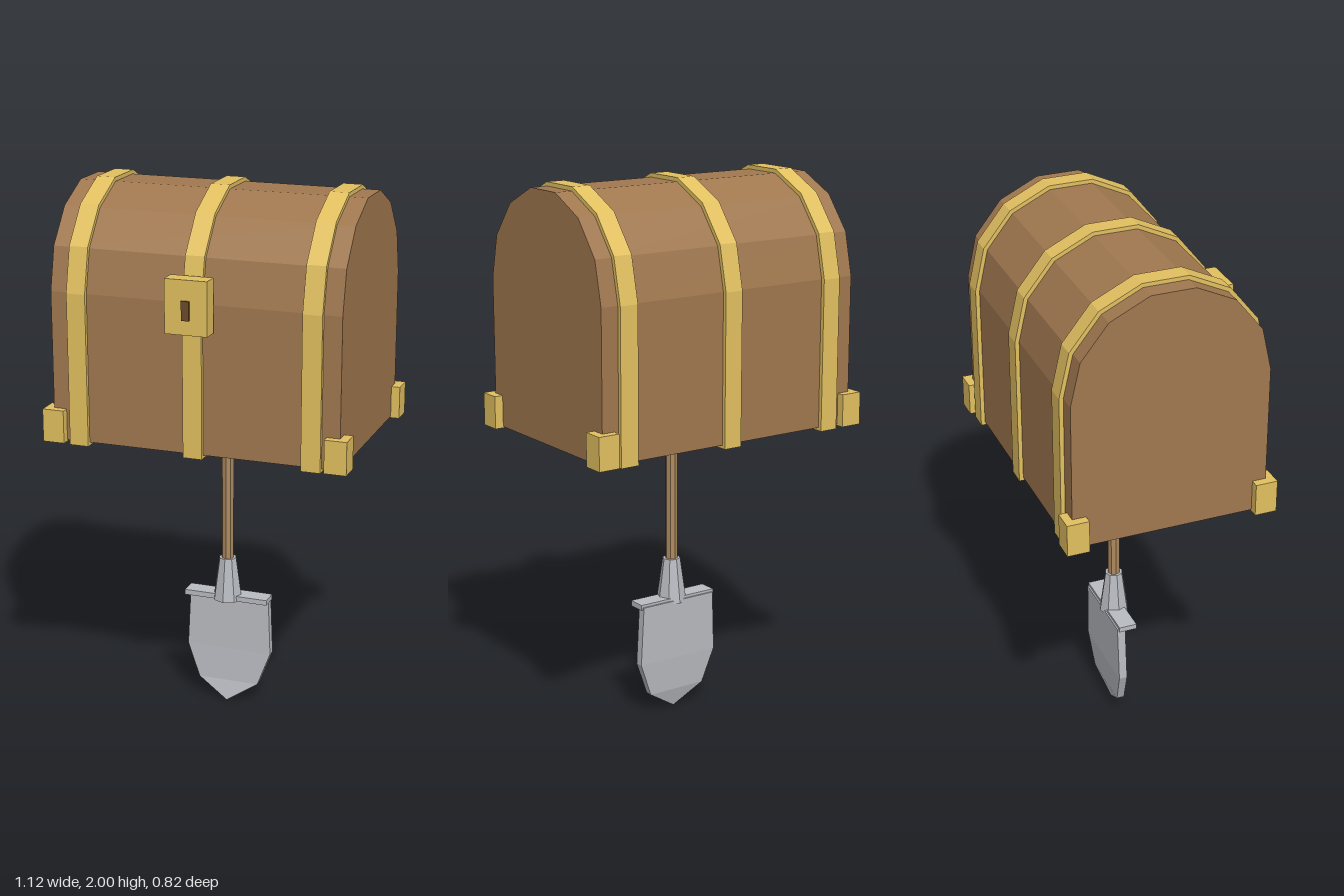
import * as THREE from 'three';

const mat = (color, extra = {}) => new THREE.MeshStandardMaterial({ color, flatShading: true, ...extra });
const CZ = -0.025; // depth centre of the chest

// Arched outline: straight walls topped by a seven-sided half circle
function archPoints(radius, bottom) {
  const pts = [new THREE.Vector2(-radius, bottom), new THREE.Vector2(radius, bottom)];
  for (let i = 0; i <= 7; i++) {
    const a = (i * Math.PI) / 7;
    pts.push(new THREE.Vector2(Math.cos(a) * radius, 1.64 + Math.sin(a) * radius));
  }
  return pts;
}

// Extrude an arch along x, centred on the given x
function archSolid(shape, width, x) {
  const g = new THREE.ExtrudeGeometry(shape, { depth: width, bevelEnabled: false });
  g.translate(0, 0, -width / 2);
  g.rotateY(-Math.PI / 2);
  g.translate(x, 0, CZ);
  return g;
}

// Blade from rectangular cross-sections [y, half width, front z, back z], top to tip
function bladeGeometry(rows) {
  const pos = [];
  const ring = ([y, w, f, b]) => [[-w, y, f], [w, y, f], [w, y, b], [-w, y, b]];
  const quad = (a, b, c, d) => pos.push(...a, ...b, ...c, ...a, ...c, ...d);
  for (let i = 0; i < rows.length - 1; i++) {
    const t = ring(rows[i]);
    const u = ring(rows[i + 1]);
    for (let k = 0; k < 4; k++) {
      const n = (k + 1) % 4;
      quad(u[k], u[n], t[n], t[k]);
    }
  }
  quad(...ring(rows[0]));
  const g = new THREE.BufferGeometry();
  g.setAttribute('position', new THREE.Float32BufferAttribute(pos, 3));
  g.computeVertexNormals();
  return g;
}

export function createModel() {
  const root = new THREE.Group();
  const wood = mat(0xa0784f);
  const gold = mat(0xe2c060);
  const steel = mat(0xb8bbc0);
  const shaft = mat(0xad8a60);
  const dark = mat(0x6b4a2c);

  const add = (parent, name, geometry, material) => {
    const m = new THREE.Mesh(geometry, material);
    m.name = name;
    parent.add(m);
    return m;
  };
  const box = (parent, name, min, max, material) => {
    const g = new THREE.BoxGeometry(max[0] - min[0], max[1] - min[1], max[2] - min[2]);
    g.translate((min[0] + max[0]) / 2, (min[1] + max[1]) / 2, (min[2] + max[2]) / 2);
    return add(parent, name, g, material);
  };

  // Chest
  const chest = new THREE.Group();
  chest.name = 'chest';
  root.add(chest);
  add(chest, 'chestBody', archSolid(new THREE.Shape(archPoints(0.355, 1.1)), 1.06, 0), wood);

  // Metal straps wrapping all the way round
  for (const x of [-0.43, 0, 0.43]) {
    const strap = new THREE.Shape(archPoints(0.37, 1.088));
    strap.holes.push(new THREE.Path(archPoints(0.345, 1.11)));
    add(chest, 'strap', archSolid(strap, 0.07, x), gold);
  }

  // Corner blocks
  for (const sx of [-1, 1]) {
    for (const sz of [-1, 1]) {
      const g = new THREE.BoxGeometry(0.08, 0.12, 0.08);
      g.translate(sx * 0.522, 1.155, CZ + sz * 0.345);
      add(chest, 'cornerBlock', g, gold);
    }
  }

  // Lock
  box(chest, 'lockPlate', [-0.077, 1.545, 0.337], [0.077, 1.737, 0.4], gold);
  box(chest, 'keyhole', [-0.014, 1.597, 0.39], [0.014, 1.665, 0.408], dark);

  // Shovel
  const shovel = new THREE.Group();
  shovel.name = 'shovel';
  root.add(shovel);
  const handle = new THREE.CylinderGeometry(0.023, 0.023, 0.62, 8);
  handle.translate(0, 0.81, -0.021);
  add(shovel, 'handle', handle, shaft);
  const socket = new THREE.CylinderGeometry(0.033, 0.056, 0.165, 8);
  socket.translate(0, 0.502, -0.021);
  add(shovel, 'socket', socket, steel);
  box(shovel, 'footRest', [-0.162, 0.42, -0.062], [0.162, 0.44, 0.006], steel);
  add(shovel, 'blade', bladeGeometry([
    [0.43, 0.155, -0.037, -0.068],
    [0.205, 0.165, -0.033, -0.064],
    [0.075, 0.117, -0.026, -0.055],
    [0, 0, -0.008, -0.034],
  ]), steel);

  return root;
}
